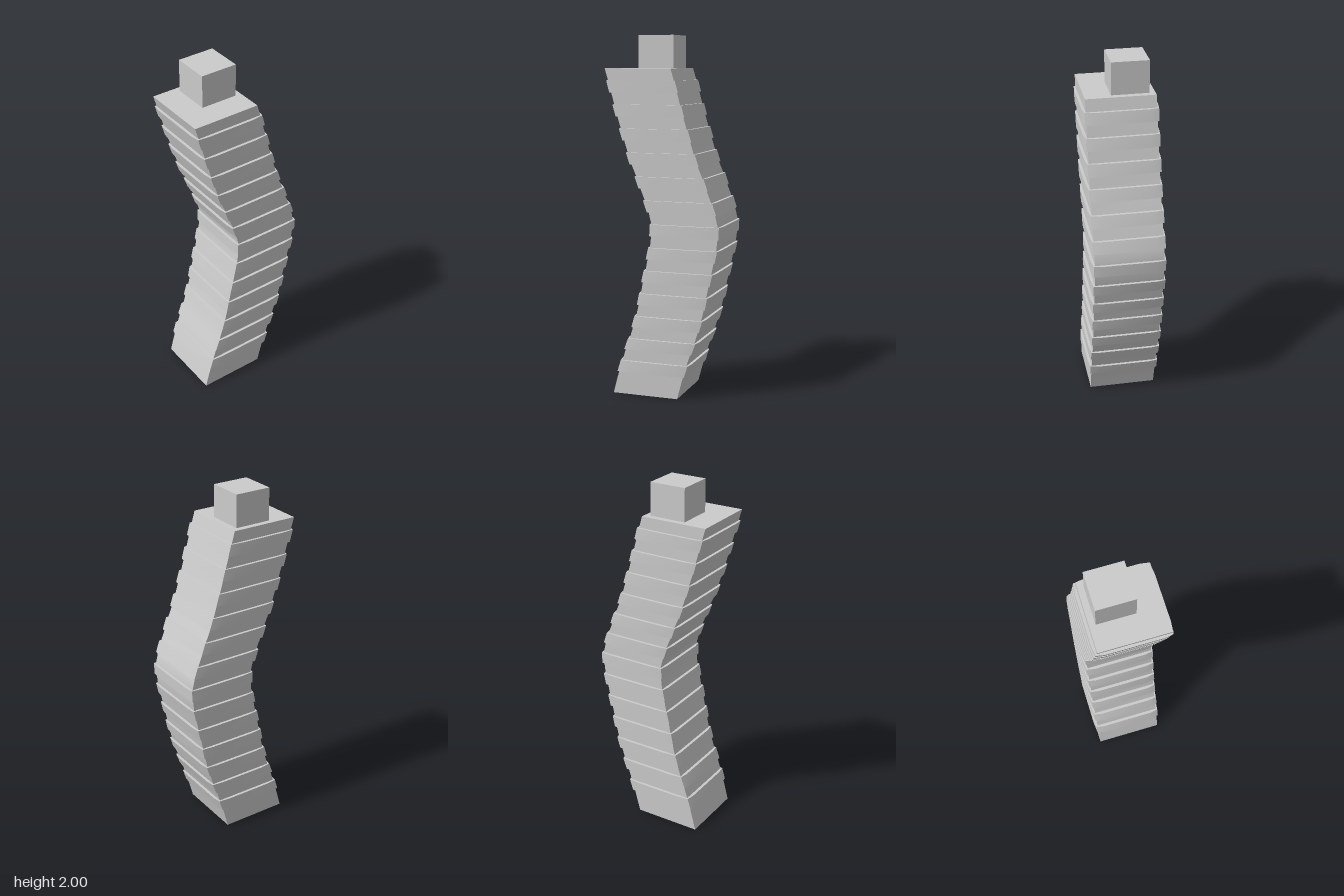
import * as THREE from 'three';
import { toCreasedNormals } from 'three/addons/utils/BufferGeometryUtils.js';

const material = new THREE.MeshStandardMaterial({ color: 0xcccccc });

// Centre line of the bent tower: x offset at each step of height
const STEP = 0.065;
const OFFSETS = [-0.107, -0.09, -0.072, -0.052, -0.031, -0.007, 0.013, 0.032, 0.047, 0.06,
  0.073, 0.088, 0.101, 0.115, 0.122, 0.124, 0.108, 0.086, 0.06, 0.037,
  0.009, -0.013, -0.033, -0.053, -0.072, -0.09, -0.108, -0.126, -0.145];

// Outlines as [x, z] corners, listed around the section
const SQUARE = [[0.19, 0.19], [0.19, -0.19], [-0.19, -0.19], [-0.19, 0.19]];
const quarter = [[0.13, 0.205], [0.198, 0.198], [0.206, 0.15]];
const flipped = (sx, sz) => quarter.map(([x, z]) => [x * sx, z * sz]);
const BULGED = [
  ...flipped(1, 1), ...flipped(1, -1).reverse(),
  ...flipped(-1, -1), ...flipped(-1, 1).reverse(),
];

// Closed solid that follows the centre line between two steps
function bentPrism(outline, from, to) {
  const pos = [], idx = [], n = outline.length;
  for (let i = from; i <= to; i++) {
    for (const [x, z] of outline) pos.push(OFFSETS[i] + x, i * STEP, z);
  }
  const rows = to - from;
  for (let r = 0; r < rows; r++) {
    for (let k = 0; k < n; k++) {
      const a = r * n + k, b = r * n + (k + 1) % n;
      idx.push(a, b, b + n, a, b + n, a + n);
    }
  }
  const top = rows * n;
  for (let k = 1; k < n - 1; k++) {
    idx.push(0, k + 1, k, top, top + k, top + k + 1);
  }
  const geo = new THREE.BufferGeometry();
  geo.setAttribute('position', new THREE.Float32BufferAttribute(pos, 3));
  geo.setIndex(idx);
  return toCreasedNormals(geo, 0.3);
}

function addPart(parent, name, geometry) {
  const mesh = new THREE.Mesh(geometry, material);
  mesh.name = name;
  parent.add(mesh);
  return mesh;
}

export function createModel() {
  const model = new THREE.Group();
  model.name = 'bentTower';

  // Main shaft
  addPart(model, 'towerBody', bentPrism(SQUARE, 0, OFFSETS.length - 1));

  // Projecting floor bands on every second step
  const bands = new THREE.Group();
  bands.name = 'floorBands';
  for (let i = 2; i <= 26; i += 2) addPart(bands, 'floorBand', bentPrism(BULGED, i, i + 1));
  model.add(bands);

  // Rooftop box, partly sunk into the roof
  const roofBox = addPart(model, 'roofBox', new THREE.BoxGeometry(0.206, 0.206, 0.206));
  roofBox.position.set(-0.09, 1.897, -0.055);

  return model;
}
